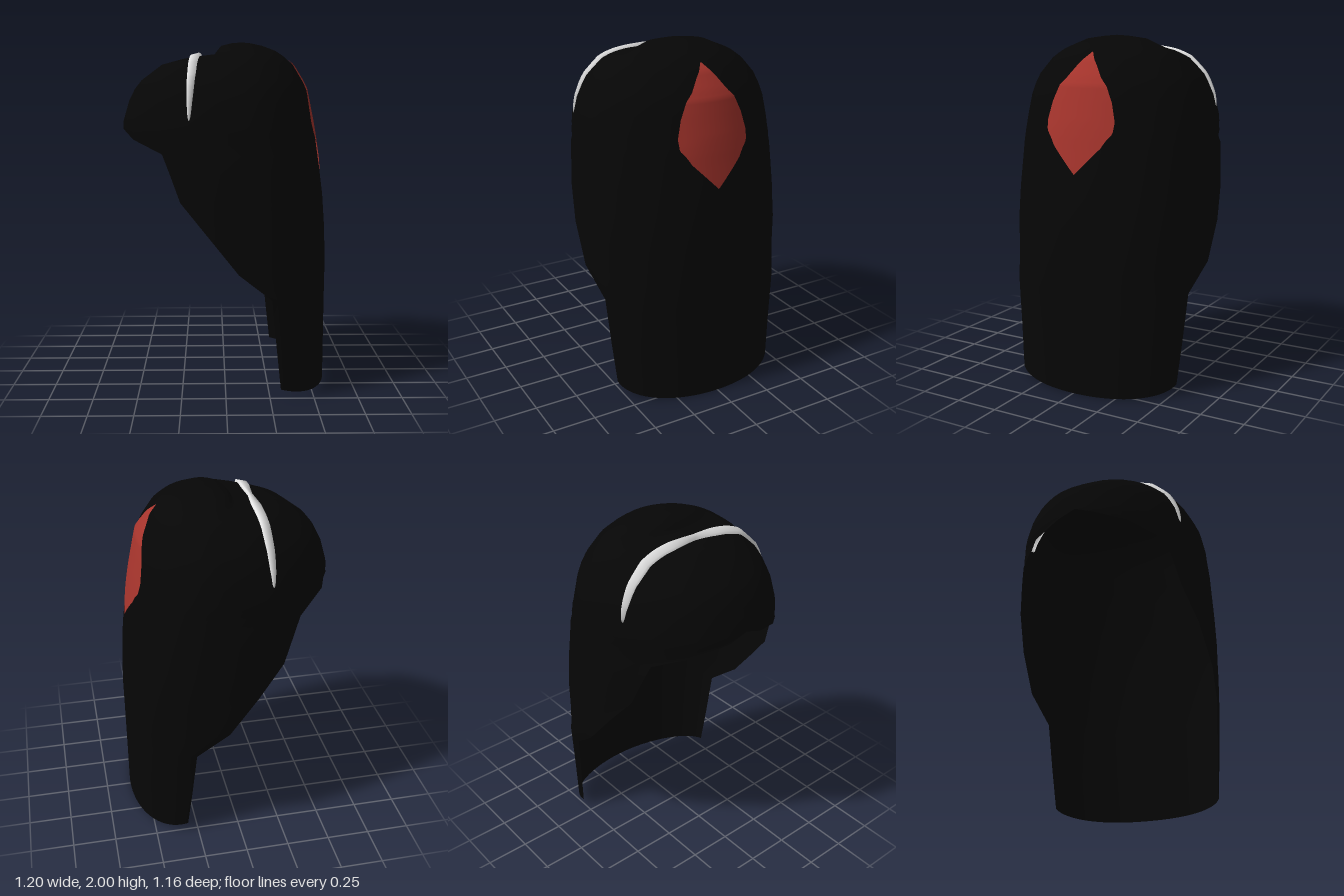
import * as THREE from 'three';

// Hair levels, top to bottom:
// height, half width, front x (or cut edge x), back x, x of widest point, roundness of the back arc
const LEVELS = [
  [2.0, 0, 0.1, 0.1, 0.1, 2],
  [1.995, 0.07, 0.04, 0.15, 0.1, 2],
  [1.98, 0.18, -0.02, 0.22, 0.1, 2],
  [1.95, 0.25, -0.045, 0.3, 0.1, 2],
  [1.93, 0.3, -0.06, 0.33, 0.1, 2],
  [1.915, 0.33, -0.19, 0.35, 0.1, 2],
  [1.9, 0.355, -0.26, 0.365, 0.1, 2],
  [1.87, 0.395, -0.37, 0.4, 0.1, 2],
  [1.78, 0.475, -0.49, 0.455, 0.1, 2],
  [1.73, 0.5, -0.53, 0.48, 0.1, 2],
  [1.66, 0.53, -0.565, 0.495, 0.1, 2],
  [1.54, 0.555, -0.6, 0.52, 0.1, 2],
  [1.5, 0.558, -0.59, 0.527, 0.1, 2.05],
  [1.45, 0.562, -0.52, 0.535, 0.1, 2.1],
  [1.38, 0.568, -0.35, 0.545, 0.1, 2.15],
  [1.28, 0.572, -0.31, 0.56, 0.1, 2.2],
  [1.12, 0.577, -0.25, 0.58, 0.1, 2.3],
  [0.94, 0.58, -0.1, 0.592, 0.1, 2.4],
  [0.73, 0.582, 0.07, 0.6, 0.07, 2.45],
  [0.58, 0.55, 0.255, 0.6, 0.255, 2.15],
  [0.3, 0.53, 0.283, 0.6, 0.283, 2.05],
  [0, 0.51, 0.31, 0.6, 0.31, 2],
];
const BROW = 1.54;  // below this height the front is open
const FRONT = 2.15; // roundness of the front arc

const lerpTable = (table, y) => {
  let i = 1;
  while (i < table.length - 1 && table[i][0] > y) i++;
  const a = table[i - 1], b = table[i];
  const t = THREE.MathUtils.clamp((a[0] - y) / (a[0] - b[0]), 0, 1);
  return a.map((v, k) => v + (b[k] - v) * t);
};

// Half width of the hair at a given x and height
function halfWidth(x, y) {
  const [, w, f, b, c, back] = lerpTable(LEVELS, y);
  const n = x < c ? FRONT : back;
  const t = Math.abs(x - c) / Math.max(1e-6, x < c ? c - f : b - c);
  return t >= 1 ? 0 : w * Math.pow(1 - Math.pow(t, n), 1 / n);
}

// Height of the hair surface above a point
function topY(x, z) {
  let lo = BROW, hi = 2;
  for (let i = 0; i < 30; i++) {
    const mid = (lo + hi) / 2;
    if (halfWidth(x, mid) > Math.abs(z)) lo = mid; else hi = mid;
  }
  return lo;
}

// Surface through rows of points
function grid(rows) {
  const m = rows[0].length, pos = [], idx = [];
  rows.forEach((row, i) => row.forEach((p, j) => {
    pos.push(...p);
    if (i < rows.length - 1 && j < m - 1) {
      const a = i * m + j, b = a + m;
      idx.push(a, a + 1, b + 1, a, b + 1, b);
    }
  }));
  const g = new THREE.BufferGeometry();
  g.setAttribute('position', new THREE.Float32BufferAttribute(pos, 3));
  g.setIndex(idx);
  g.computeVertexNormals();
  return g;
}

// Open shell: closed rings above the brow, arcs cut at the face edge below
function hairGeometry() {
  const N = 20;
  return grid(LEVELS.map(([y, w, f, b, c, back], i) => {
    let end = Math.PI, frontR = c - f;
    if (y < BROW) {
      frontR = c + 0.6;
      end = Math.PI / 2 + Math.asin(Math.pow((c - f) / frontR, FRONT / 2));
    }
    return Array.from({ length: 2 * N + 1 }, (_, j) => {
      const a = end * (j / N - 1), co = Math.cos(a), s = Math.sin(a);
      const n = co < 0 ? FRONT : back;
      const x = c + Math.sign(co) * Math.pow(Math.abs(co), 2 / n) * (co < 0 ? frontR : b - c);
      const z = Math.sign(s) * Math.pow(Math.abs(s), 2 / n) * w;
      // the hem rises towards its corners
      const hem = 0.055 * Math.pow(Math.max(0, (b - x) / (b - c)), 1.3);
      return [x, i === LEVELS.length - 1 ? hem : y, z];
    });
  }));
}

// Raised band over the head, tapering to both ends and pinched at the parting
function bandGeometry() {
  const rows = [], N = 48;
  for (let i = 0; i <= N; i++) {
    const k = (i / N) * 2 - 1, z0 = 0.505 * Math.sin(k * Math.PI / 2);
    const taper = 1 - k ** 4, mid = -0.165 - 0.02 * z0 - 0.1 * z0 * z0;
    const width = taper * (0.5 + 0.5 * Math.min(1, Math.abs(z0) / 0.15));
    const y0 = topY(mid, z0), len = Math.hypot(y0 - 1.4, z0);
    const ny = (y0 - 1.4) / len, nz = z0 / len;
    const at = (dx, lift) => [mid + dx * width, y0 + ny * lift, z0 + nz * lift];
    rows.push([at(-0.027, -0.03), at(-0.025, 0.012 * taper), at(0.026, 0.024 * taper), at(0.028, -0.03)]);
  }
  return grid(rows);
}

// Diamond patch on the back of the head: height, half width
const PATCH = [[1.91, 0], [1.84, 0.06], [1.77, 0.11], [1.73, 0.15], [1.64, 0.19], [1.54, 0.215],
  [1.48, 0.21], [1.44, 0.175], [1.4, 0.15], [1.34, 0.09], [1.25, 0]];
function patchGeometry() {
  const rows = [], N = 44, M = 12;
  for (let i = 0; i <= N; i++) {
    const y = 1.91 - 0.66 * i / N, half = lerpTable(PATCH, y)[1];
    const [, w, , b, c, back] = lerpTable(LEVELS, y);
    rows.push(Array.from({ length: M + 1 }, (_, j) => {
      const z = half * (2 * j / M - 1);
      const x = c + (b - c) * Math.pow(1 - Math.pow(Math.abs(z) / w, back), 1 / back);
      return [x + 0.006, y + 0.003, z];
    }));
  }
  return grid(rows);
}

export function createModel() {
  const material = (name, color) => {
    const m = new THREE.MeshStandardMaterial({ color, side: THREE.DoubleSide });
    m.name = name;
    return m;
  };
  const group = new THREE.Group();
  group.name = 'longHair';
  const add = (name, geometry, mat) => {
    const mesh = new THREE.Mesh(geometry, mat);
    mesh.name = name;
    group.add(mesh);
  };
  add('hairShell', hairGeometry(), material('black', 0x060606));
  add('headband', bandGeometry(), material('white', 0xe4e4e4));
  add('diamondPatch', patchGeometry(), material('red', 0xa8352d));
  return group;
}
